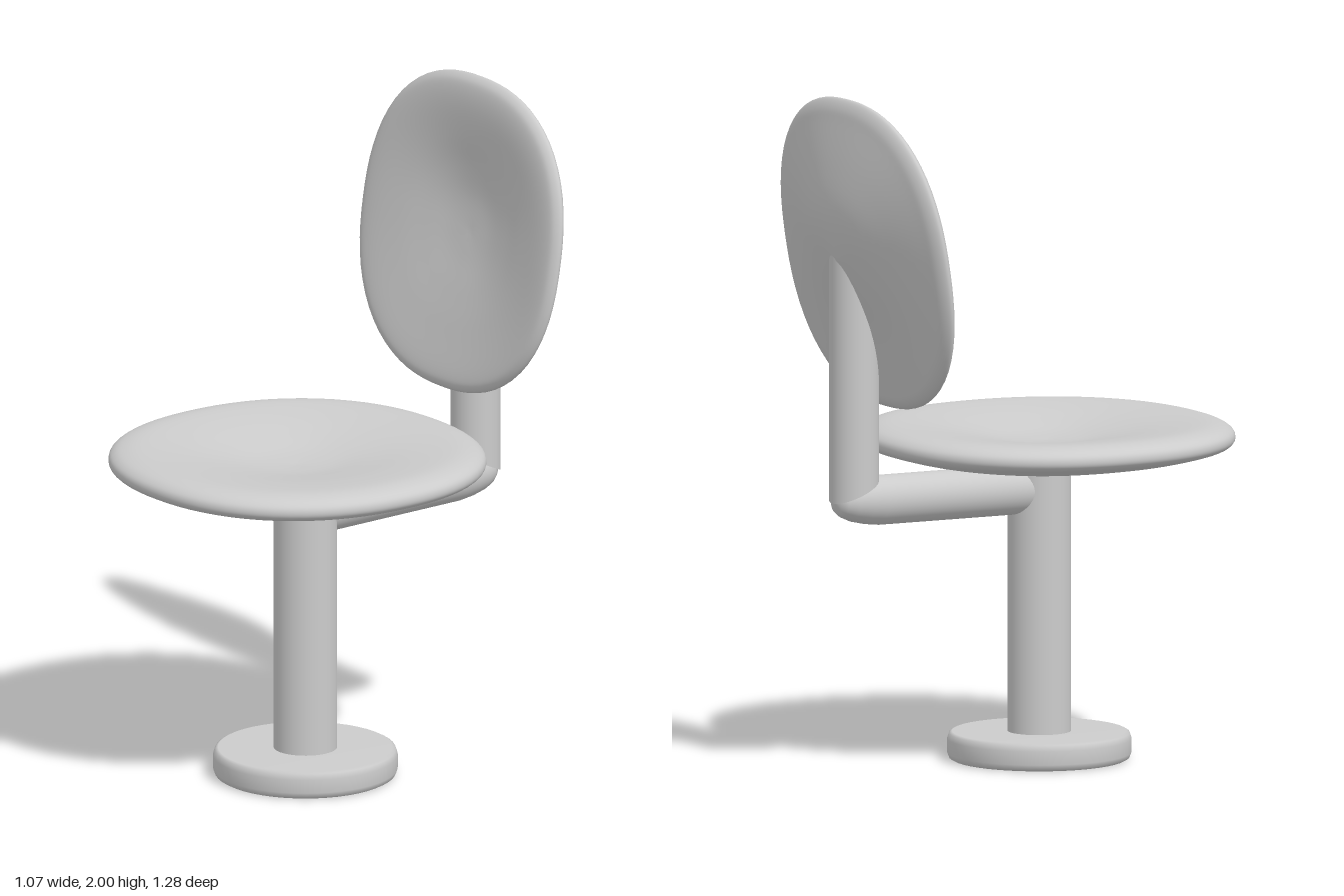
import * as THREE from 'three';
import { mergeVertices } from 'three/addons/utils/BufferGeometryUtils.js';

const material = new THREE.MeshStandardMaterial({ color: 0xcccccc });

const toPoints = (pairs) => pairs.map(([r, y]) => new THREE.Vector2(r, y));

function addMesh(parent, name, geometry, x = 0, y = 0, z = 0) {
  const mesh = new THREE.Mesh(geometry, material);
  mesh.name = name;
  mesh.position.set(x, y, z);
  parent.add(mesh);
  return mesh;
}

// Dished pad: a lathed unit profile squared off into a superellipse.
// swell makes the shell deeper towards one end and shallower towards the other.
function padGeometry(profile, rx, rz, power, swell = 0) {
  const curve = new THREE.SplineCurve(toPoints(profile));
  const points = curve.getPoints(60).map((p) => p.setX(Math.max(p.x, 0)));
  let geometry = new THREE.LatheGeometry(points, 72);
  geometry.deleteAttribute('uv');
  geometry.deleteAttribute('normal');
  const pos = geometry.attributes.position;
  for (let i = 0; i < pos.count; i++) {
    const u = pos.getX(i), v = pos.getZ(i), r = Math.hypot(u, v);
    if (r < 1e-6) continue;
    const k = Math.pow(Math.abs(u / r) ** power + Math.abs(v / r) ** power, -1 / power);
    const y = pos.getY(i) * (1 - swell * v * Math.max(0, 1 - r * r));
    pos.setXYZ(i, u * k * rx, y, v * k * rz);
  }
  geometry = mergeVertices(geometry, 1e-5);
  geometry.computeVertexNormals();
  return geometry;
}

export function createModel() {
  const group = new THREE.Group();
  group.name = 'pedestalChair';
  const cx = 0.016, cz = 0.09;

  // Round foot with softened edges
  const foot = [[0, 0], [0.255, 0], [0.264, 0.005], [0.27, 0.02], [0.27, 0.06],
    [0.264, 0.077], [0.255, 0.082], [0, 0.082]];
  addMesh(group, 'base', new THREE.LatheGeometry(toPoints(foot), 48), cx, 0, cz);

  // Column
  addMesh(group, 'column', new THREE.CylinderGeometry(0.093, 0.093, 0.84, 40), cx, 0.48, cz);

  // Seat
  const seatProfile = [[0, -0.09], [0.2, -0.088], [0.45, -0.08], [0.75, -0.056],
    [0.93, -0.032], [0.985, -0.018], [1, 0], [0.985, 0.02], [0.93, 0.036], [0.82, 0.042],
    [0.6, 0.03], [0.4, 0.012], [0.2, -0.006], [0, -0.013]];
  addMesh(group, 'seat', padGeometry(seatProfile, 0.536, 0.536, 2.2), 0, 0.954, 0.107);

  // Arm from the column, closing in a blunt rounded end at the elbow
  const tubeRadius = 0.073, postZ = -0.535, elbowY = 0.806;
  const armProfile = [[0, 0], [tubeRadius, 0], [tubeRadius, 0.5], [0.068, 0.545],
    [0.058, 0.59], [0.045, 0.62], [0.03, 0.638], [0, 0.642]];
  const arm = addMesh(group, 'backArm',
    new THREE.LatheGeometry(toPoints(armProfile), 36), cx, 0.8, 0.04);
  arm.rotation.x = -Math.PI / 2 + 0.012;

  // Upright post: mitred at the elbow, its top slanted to stay inside the backrest
  const postGeometry = new THREE.CylinderGeometry(tubeRadius, tubeRadius, 1, 36);
  const pos = postGeometry.attributes.position;
  for (let i = 0; i < pos.count; i++) {
    const z = pos.getZ(i);
    const top = 1.28 + (0.075 - z) * 2;
    const bottom = elbowY + (z + tubeRadius) * 0.45;
    pos.setY(i, pos.getY(i) > 0 ? top : bottom);
  }
  addMesh(group, 'backPost', postGeometry, cx + 0.004, 0, postZ);

  // Backrest, leaning back
  const backProfile = [[0, -0.107], [0.3, -0.092], [0.6, -0.062], [0.85, -0.035],
    [0.95, -0.022], [1, -0.002], [0.975, 0.015], [0.92, 0.022], [0.8, 0.019],
    [0.6, 0.005], [0.4, -0.012], [0.2, -0.026], [0, -0.031]];
  const backGeometry = padGeometry(backProfile, 0.463, 0.465, 2.35, 0.8);
  backGeometry.rotateX(Math.PI / 2);
  const back = addMesh(group, 'backrest', backGeometry, 0, 1.541, -0.5);
  back.rotation.x = -0.155;

  return group;
}
